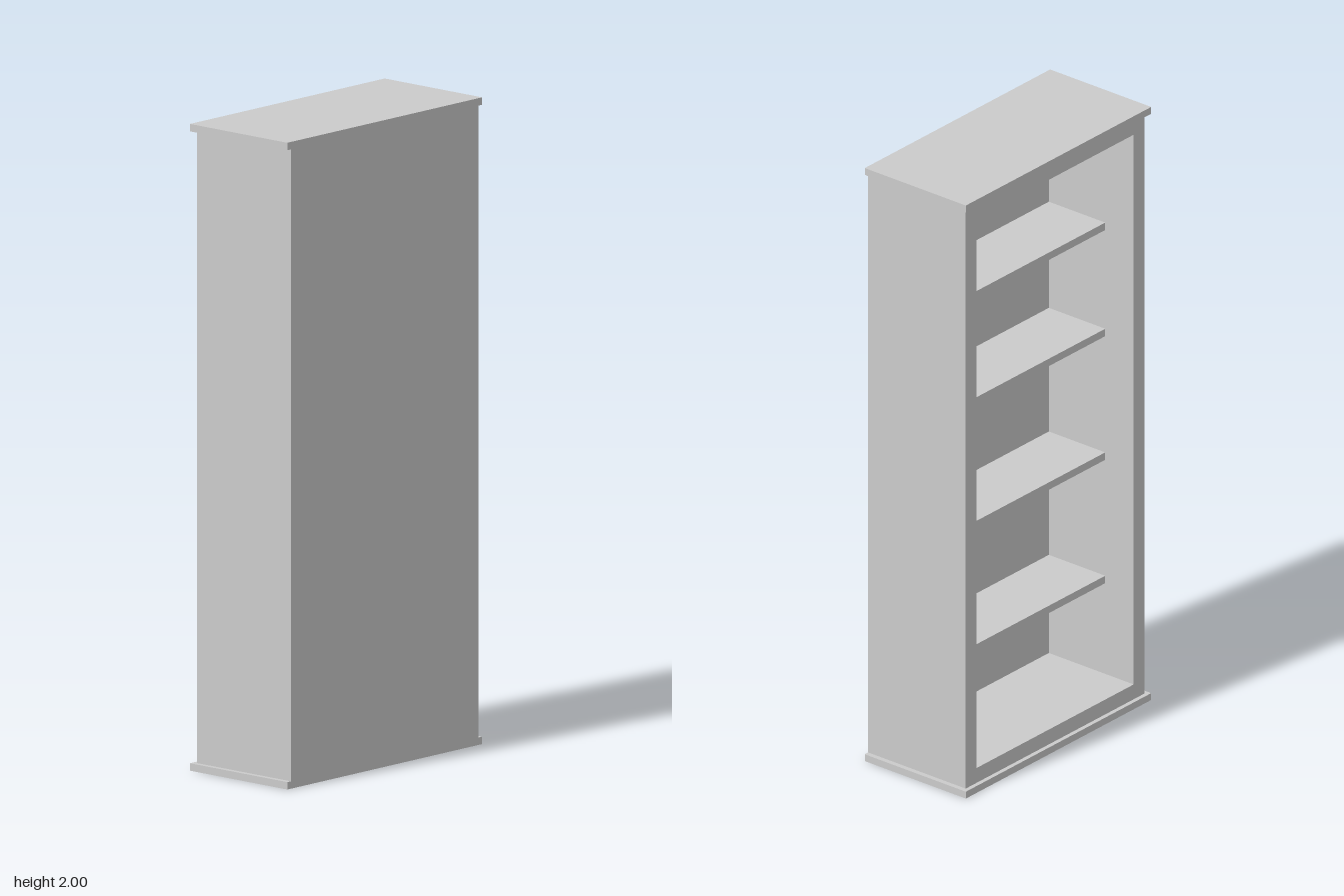
import * as THREE from 'three';

// Tall bookcase: open toward -x, closed back toward +x
export function createModel() {
  const group = new THREE.Group();
  group.name = 'bookcase';
  const material = new THREE.MeshStandardMaterial({ color: 0xcccccc, flatShading: true });

  // Box given by its minimum and maximum corners
  function board(name, [x0, y0, z0], [x1, y1, z1]) {
    const mesh = new THREE.Mesh(new THREE.BoxGeometry(x1 - x0, y1 - y0, z1 - z0), material);
    mesh.position.set((x0 + x1) / 2, (y0 + y1) / 2, (z0 + z1) / 2);
    mesh.name = name;
    group.add(mesh);
  }

  const back = 0.199, open = -0.185; // carcass depth along x
  const half = 0.421, wall = 0.05;   // carcass half width along z, panel thickness
  const cap = 0.023;                 // base and top slab thickness
  const inner = half - wall, rear = back - wall;

  // Overhanging slabs, flush with the back
  board('baseSlab', [-0.199, 0, -0.437], [back, cap, 0.437]);
  board('topSlab', [-0.199, 2 - cap, -0.437], [back, 2, 0.437]);

  // Carcass
  board('leftmostSide', [open, cap, inner], [back, 2 - cap, half]);
  board('oppositeSide', [open, cap, -half], [back, 2 - cap, -inner]);
  board('backPanel', [rear, cap, -inner], [back, 2 - cap, inner]);
  board('floorBoard', [open, cap, -inner], [rear, cap + wall, inner]);
  board('ceilingBoard', [open, 2 - cap - wall, -inner], [rear, 2 - cap, inner]);

  // Shelves, set back from the opening
  for (const top of [0.404, 0.82, 1.237, 1.595]) {
    board('shelf', [-0.073, top - 0.025, -inner], [rear, top, inner]);
  }
  return group;
}
